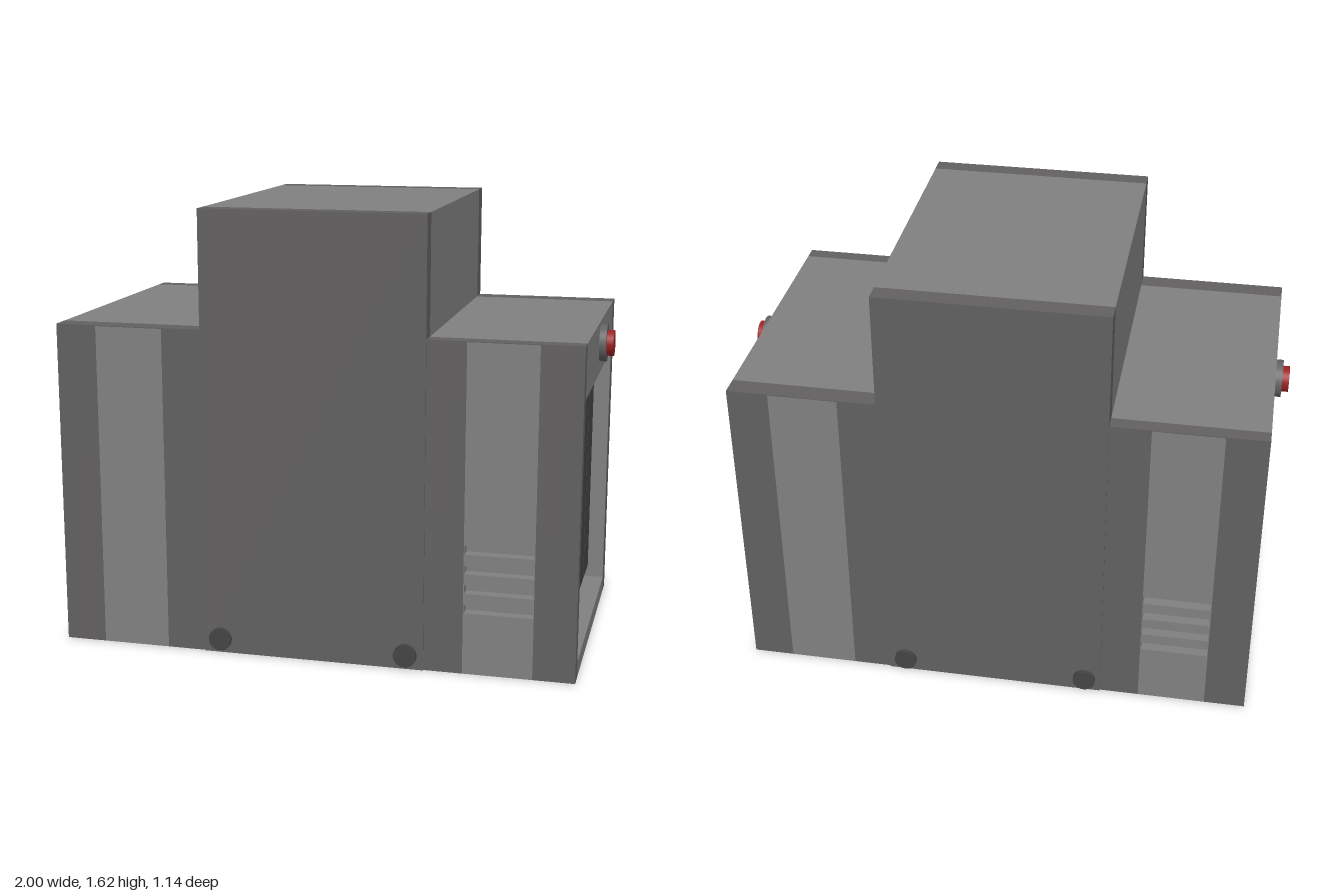
import * as THREE from 'three';

const mat = (color) => new THREE.MeshStandardMaterial({ color });
const LIGHT = mat(0x808080), DARK = mat(0x626060), RUBBER = mat(0x444444), RED = mat(0x9c2020);

function add(parent, name, geometry, material) {
  const mesh = new THREE.Mesh(geometry, material);
  mesh.name = name;
  parent.add(mesh);
  return mesh;
}

// Box given by its extents along x, y and z
function box(parent, name, material, [x0, x1], [y0, y1], [z0, z1]) {
  const mesh = add(parent, name, new THREE.BoxGeometry(x1 - x0, y1 - y0, z1 - z0), material);
  mesh.position.set((x0 + x1) / 2, (y0 + y1) / 2, (z0 + z1) / 2);
  return mesh;
}

function rect(path, x0, x1, y0, y1) {
  path.moveTo(x0, y0);
  path.lineTo(x1, y0);
  path.lineTo(x1, y1);
  path.lineTo(x0, y1);
  path.closePath();
  return path;
}

// One end of the machine, facing +x; the other end is the same turned half round
function createEnd() {
  const end = new THREE.Group();
  const X = [0.405, 0.95], H = 1.195, zFront = 0.495, zBack = -0.475, zOut = 0.55;

  // Header above the tunnel and floor below it
  box(end, 'header', LIGHT, X, [1, H], [zBack, zFront]);
  box(end, 'tunnelFloor', LIGHT, X, [0, 0.06], [zBack, zFront]);
  box(end, 'tunnelLiningFront', LIGHT, [X[0], 0.949], [0.06, 1], [zFront - 0.004, zFront]);
  box(end, 'tunnelLiningBack', LIGHT, [X[0], 0.949], [0.06, 1], [zBack, zBack + 0.004]);

  // Side walls with a lighter insert panel each
  for (const [side, z] of [['Front', [zFront, zOut]], ['Back', [-zOut, zBack]]]) {
    box(end, 'wallInner' + side, DARK, [X[0], 0.55], [0, H], z);
    box(end, 'wallOuter' + side, DARK, [0.8, X[1]], [0, H], z);
    box(end, 'wallCap' + side, DARK, [0.55, 0.8], [H - 0.003, H], z);
  }
  box(end, 'insertPanelBack', LIGHT, [0.55, 0.8], [0, H - 0.003], [-zOut, zBack]);

  // Vented insert: slots cut through the outer layer
  const panel = rect(new THREE.Shape(), 0.55, 0.8, 0, H - 0.003);
  for (let i = 0; i < 4; i++) {
    const y = 0.225 + i * 0.072;
    panel.holes.push(rect(new THREE.Path(), 0.553, 0.797, y, y + 0.031));
  }
  const vent = add(end, 'ventPanel',
    new THREE.ExtrudeGeometry(panel, { depth: 0.04, bevelEnabled: false }), LIGHT);
  vent.position.z = zOut - 0.04;
  box(end, 'ventBacking', LIGHT, [0.55, 0.8], [0, H - 0.003], [zFront, zOut - 0.04]);

  // Curtain strips
  for (let i = 0; i < 5; i++) {
    const z = 0.38 - i * 0.1845;
    box(end, 'curtainStrip', RUBBER, [0.875, 0.89], [0.115, 1], [z - 0.086, z + 0.086]);
  }

  // Stop button on its collar
  const collar = add(end, 'buttonCollar', new THREE.CylinderGeometry(0.068, 0.068, 0.03, 32), DARK);
  collar.rotation.z = -Math.PI / 2;
  collar.position.set(0.96, 1.113, 0);
  const button = add(end, 'stopButton', new THREE.CylinderGeometry(0.047, 0.047, 0.05, 32), RED);
  button.rotation.z = -Math.PI / 2;
  button.position.set(0.975, 1.113, 0);
  return end;
}

// Tall middle section around the tunnel
function createTower() {
  const tower = new THREE.Group();
  tower.name = 'tower';
  const X = [-0.405, 0.41], Z = [-0.485, 0.49];
  box(tower, 'towerCore', LIGHT, X, [1, 1.622], Z);
  box(tower, 'conveyorBed', LIGHT, X, [0, 0.083], Z);
  box(tower, 'towerPanelFront', DARK, X, [0, 1.622], [Z[1], 0.555]);
  box(tower, 'towerPanelBack', DARK, X, [0, 1.622], [-0.555, Z[0]]);

  // Round plugs low on both faces
  for (const x of [-0.345, 0.345]) for (const side of [-1, 1]) {
    const plug = add(tower, 'footPlug', new THREE.CylinderGeometry(0.042, 0.042, 0.03, 24), RUBBER);
    plug.rotation.x = Math.PI / 2;
    plug.position.set(x, 0.052, side * 0.555);
  }
  return tower;
}

export function createModel() {
  const model = new THREE.Group();
  model.name = 'tunnelScanner';
  model.add(createTower());
  ['leftEnd', 'rightEnd'].forEach((name, i) => {
    const end = createEnd();
    end.name = name;
    end.rotation.y = i * Math.PI;
    model.add(end);
  });
  return model;
}
